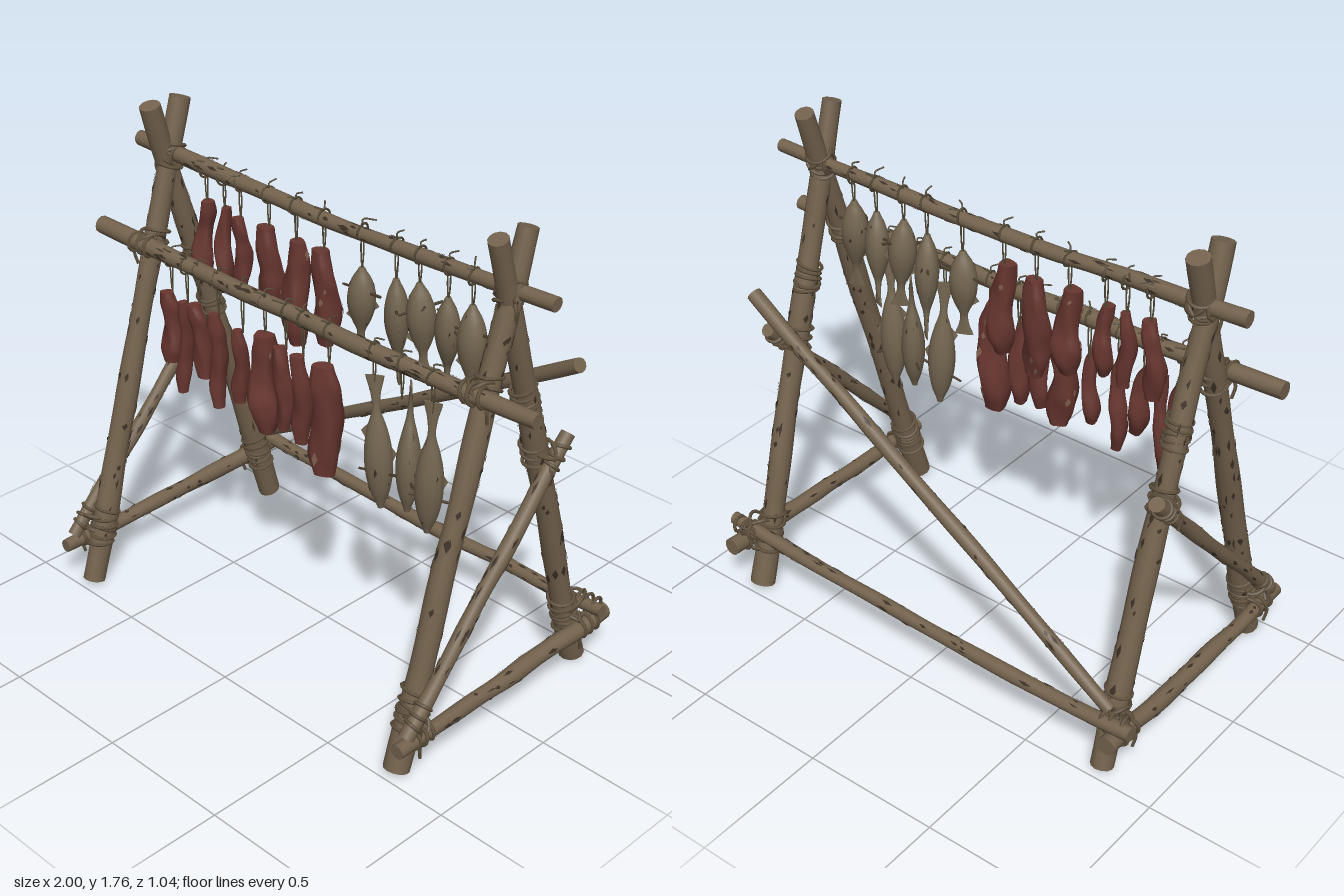
import * as THREE from 'three';
import { mergeGeometries } from 'three/addons/utils/BufferGeometryUtils.js';

const V = (x, y, z) => new THREE.Vector3(x, y, z);
const mat = (name, color, side = THREE.FrontSide) => {
  const m = new THREE.MeshStandardMaterial({ color, side });
  m.name = name;
  return m;
};

export function createModel() {
  const root = new THREE.Group();
  root.name = 'dryingRack';
  const wood = mat('wood', 0x73624d);
  const bark = mat('darkBark', 0x3a2f25, THREE.DoubleSide);
  const rope = mat('rope', 0x62533f);
  const meatMat = mat('driedMeat', 0x683630);
  const fat = mat('fat', 0x80604f, THREE.DoubleSide);
  const fishMat = mat('driedFish', 0x736550, THREE.DoubleSide);
  const cord = mat('cord', 0x554c38);
  const stick = mat('stick', 0x4a3c2d);

  let seed = 7;
  const rnd = (a = 0, b = 1) => {
    seed = (seed * 16807) % 2147483647;
    return a + (b - a) * (seed / 2147483647);
  };
  const add = (name, geo, material, parent = root) => {
    const m = new THREE.Mesh(geo, material);
    m.name = name;
    parent.add(m);
    return m;
  };

  // Closed solid swept from P(t, angle), with separate flat end caps
  function loft(n, m, P) {
    const pos = [], idx = [];
    const ring = (t) => {
      for (let j = 0; j < m; j++) pos.push(...P(t, (j / m) * Math.PI * 2).toArray());
    };
    for (let i = 0; i <= n; i++) ring(i / n);
    for (let i = 0; i < n; i++) {
      for (let j = 0; j < m; j++) {
        const a = i * m + j, b = i * m + ((j + 1) % m);
        idx.push(a, b, a + m, b, b + m, a + m);
      }
    }
    for (const t of [0, 1]) {
      const s = pos.length / 3;
      ring(t);
      pos.push(...P(t, 0).add(P(t, Math.PI)).multiplyScalar(0.5).toArray());
      for (let j = 0; j < m; j++) {
        const k = (j + 1) % m;
        idx.push(s + m, s + (t ? j : k), s + (t ? k : j));
      }
    }
    const g = new THREE.BufferGeometry();
    g.setAttribute('position', new THREE.Float32BufferAttribute(pos, 3));
    g.setIndex(idx);
    g.computeVertexNormals();
    return g;
  }

  // Thin pointed flakes lying on a swept surface
  function flakes(P, n, dMin, dMax, aMin, aMax, off) {
    const pos = [];
    for (let i = 0; i < n; i++) {
      const t = rnd(0.1, 0.9), ang = rnd(0, 6.28), dt = rnd(dMin, dMax), da = rnd(aMin, aMax);
      const c = [P(t - dt, ang, off), P(t, ang + da, off), P(t + dt, ang + 0.1, off), P(t, ang - da, off)];
      for (const k of [0, 1, 2, 0, 2, 3]) pos.push(...c[k].toArray());
    }
    const g = new THREE.BufferGeometry();
    g.setAttribute('position', new THREE.Float32BufferAttribute(pos, 3));
    g.computeVertexNormals();
    return g;
  }

  // Slightly crooked pole with dark bark flakes
  function pole(name, a, b, r0, r1, sag = 0) {
    const d = b.clone().sub(a), len = d.length();
    d.normalize();
    const u = V(0, 1, 0).cross(d).normalize();
    const v = d.clone().cross(u);
    const path = [];
    for (let i = 0; i <= 8; i++) {
      const t = i / 8, k = i % 8 ? 0.004 : 0;
      path.push(a.clone().lerp(b, t).addScaledVector(u, rnd(-k, k)).addScaledVector(v, rnd(-k, k))
        .add(V(0, -sag * 4 * t * (1 - t), 0)));
    }
    const curve = new THREE.CatmullRomCurve3(path);
    const ph = rnd(0, 6);
    const P = (t, ang, off = 0) => {
      const r = (r0 + (r1 - r0) * t) * (1 + 0.04 * Math.sin(t * 23 + ph) + 0.04 * Math.sin(ang * 2 + t * 9 + ph)) + off;
      return curve.getPoint(t).addScaledVector(u, r * Math.cos(ang)).addScaledVector(v, r * Math.sin(ang));
    };
    add(name, loft(32, 12, P), wood);
    add(name + 'BarkFlakes', flakes(P, len * 34, 0.008 / len, 0.03 / len, 0.08, 0.26, 0.002), bark);
  }

  // Rope turns around an axis
  function turns(c, axis, r, n, spread, out, thick = 0.0065) {
    const d = axis.clone().normalize();
    for (let i = 0; i < n; i++) {
      const g = new THREE.TorusGeometry(r + rnd(0, 0.004), thick, 5, 16);
      const tilt = d.clone().add(V(rnd(-0.2, 0.2), rnd(-0.2, 0.2), rnd(-0.2, 0.2))).normalize();
      g.applyQuaternion(new THREE.Quaternion().setFromUnitVectors(V(0, 0, 1), tilt));
      const p = c.clone().addScaledVector(d, n > 1 ? (i / (n - 1) - 0.5) * spread : 0);
      out.push(g.translate(p.x, p.y, p.z));
    }
  }
  const tube = (pts, r) => new THREE.TubeGeometry(new THREE.CatmullRomCurve3(pts), 8, r, 5);

  // Lashing where pole A crosses pole B, with a loose rope end
  function lashing(name, ca, axA, rA, cb, axB, rB) {
    const out = [];
    turns(ca, axA, rA, 3, 0.07, out);
    turns(cb, axB, rB, 3, 0.07, out);
    const mid = ca.clone().add(cb).multiplyScalar(0.5);
    const a = axA.clone().normalize(), b = axB.clone().normalize();
    turns(mid, a.clone().add(b), (rA + rB) * 0.66, 1, 0, out);
    turns(mid, a.clone().sub(b), (rA + rB) * 0.66, 1, 0, out);
    const s = Math.sign(mid.x);
    out.push(tube([mid.clone().add(V(s * 0.03, -0.01, 0.02)), mid.clone().add(V(s * 0.05, -0.04, 0.03)),
      mid.clone().add(V(s * 0.045, -0.09, 0.02))], 0.006));
    add(name, mergeGeometries(out), rope);
  }

  // End frames: crossed legs, foot rail and brace on each side
  const legAt = (x, f, y) => V(x, y, f * (0.45 - (0.52 * y) / 1.76));
  const X = V(1, 0, 0);
  for (const s of [-1, 1]) {
    const side = s < 0 ? 'right' : 'left';
    const x = s < 0 ? -0.775 : 0.757, xr = s < 0 ? -0.835 : 0.825;
    for (const f of [1, -1]) {
      pole(side + (f > 0 ? 'FrontLeg' : 'BackLeg'), legAt(x, f, 0.013), legAt(x + s * 0.01, f, 1.755), 0.043, 0.036);
    }
    pole(side + 'FootRail', V(xr, 0.16, 0.52), V(xr, 0.185, -0.52), 0.025, 0.033, 0.012);
    pole(side + 'Brace', V(xr, 0.19, 0.48), V(s * 0.815, 0.99, -0.265), 0.025, 0.026);
    const dF = V(0, 1.76, -0.52), dB = V(0, 1.76, 0.52), dBr = V(0, 0.8, -0.74);
    lashing(side + 'ApexLashing', legAt(x, 1, 1.56), dF, 0.04, V(x, 1.56, -0.01), X, 0.03);
    lashing(side + 'RailLashing', legAt(x, 1, 1.265), dF, 0.042, V(x, 1.265, 0.135), X, 0.032);
    const band = [];
    turns(legAt(x, -1, 1.155), dB, 0.04, 5, 0.09, band);
    add(side + 'BackLegBand', mergeGeometries(band), rope);
    lashing(side + 'BraceLashing', legAt(x, -1, 0.94), dB, 0.041, V(s * 0.815, 0.93, -0.21), dBr, 0.027);
    lashing(side + 'FrontFootLashing', legAt(x, 1, 0.19), dF, 0.043, V(xr, 0.165, 0.41), V(0, 0, 1), 0.028);
    lashing(side + 'BraceFootLashing', legAt(x, 1, 0.25), dF, 0.043, V(xr, 0.25, 0.425), dBr, 0.026);
    lashing(side + 'BackFootLashing', legAt(x, -1, 0.19), dB, 0.043, V(xr, 0.18, -0.42), V(0, 0, 1), 0.033);
    lashing(side + 'BackRailLashing', legAt(x, -1, 0.25), dB, 0.043, V(x + s * 0.05, 0.245, -0.455), X, 0.027);
  }

  // Long poles
  pole('topPole', V(-0.94, 1.575, -0.012), V(0.93, 1.57, -0.018), 0.028, 0.023, 0.022);
  pole('frontPole', V(-1, 1.272, 0.135), V(1, 1.265, 0.13), 0.031, 0.027, 0.013);
  pole('backRail', V(-0.9, 0.24, -0.475), V(0.88, 0.245, -0.44), 0.026, 0.024, 0.02);
  pole('backDiagonal', V(-0.8, 0.27, -0.45), V(0.78, 1.19, -0.35), 0.024, 0.026);

  // Cord tied round a pole, with loose ends and a drop to the hung piece
  function hangCord(x, py, pz, top) {
    const out = [];
    turns(V(x, py, pz), X, 0.026, 1, 0, out, 0.004);
    for (const k of [-1, 1]) {
      out.push(tube([V(x + k * 0.004, py, pz), V(x + k * 0.006, (py + top) / 2, pz), V(x, top - 0.02, pz)], 0.0028));
      out.push(tube([V(x, py + 0.025, pz), V(x + k * 0.012, py + 0.034, pz + k * 0.015),
        V(x + rnd(-0.03, 0.03), py + rnd(0.03, 0.05), pz + k * rnd(0.02, 0.04))], 0.003));
    }
    add('hangingCord', mergeGeometries(out), cord);
  }

  // Strip of meat: lumpy blunt-ended slab, with fat patches on the large cuts
  function meat(x, z, top, bot, w, lean) {
    const prof = new THREE.SplineCurve([0.65, 0.85, 0.85, 0.95, 1.05, 1, 0.65]
      .map((k) => new THREE.Vector2(w * k * rnd(0.88, 1.15), (w * 0.55 + 0.013) * k * rnd(0.88, 1.15))));
    const ph = rnd(0, 6), h = top - bot;
    const sq = (c) => Math.sign(c) * Math.pow(Math.abs(c), 0.75);
    const P = (t, a, off = 0) => {
      const p = prof.getPoint(t), k = 1 + 0.1 * Math.sin(a * 3 + t * 8 + ph);
      return V(lean * t + 0.007 * Math.sin(t * 6 + ph) + (p.x * k + off) * sq(Math.cos(a)), -h * t,
        0.01 * Math.cos(t * 5 + ph) + (p.y * k + off) * sq(Math.sin(a)));
    };
    const m = add('meatStrip', loft(18, 12, P), meatMat);
    m.position.set(x, top, z);
    m.rotation.y = rnd(-0.5, 0.5);
    if (w > 0.04) add('fatPatches', flakes(P, 4, 0.03, 0.07, 0.15, 0.3, 0.003), fat, m);
  }

  // Fish: rounded body with fan tail, fins and a spreading stick; dir 1 hangs head up
  const fishProfile = new THREE.SplineCurve([[0.01, 0.01], [0.032, 0.028], [0.045, 0.039], [0.049, 0.042], [0.044, 0.037],
    [0.031, 0.025], [0.014, 0.012], [0.018, 0.007], [0.032, 0.004]].map((p) => new THREE.Vector2(...p)));
  function fish(x, z, top, bot, dir, yaw) {
    const h = top - bot, grp = new THREE.Group();
    grp.name = 'fish';
    grp.position.set(x, top, z);
    grp.rotation.set(rnd(-0.06, 0.06), yaw, rnd(-0.08, 0.08));
    root.add(grp);
    const at = (t) => fishProfile.getPoint(dir > 0 ? t : 1 - t);
    const P = (t, a, off = 0) => V((at(t).x + off) * Math.cos(a), -h * t, (at(t).y + off) * Math.sin(a));
    add('fishBody', loft(28, 12, P), fishMat, grp);
    add('fishMarks', flakes(P, 5, 0.015, 0.04, 0.06, 0.14, 0.002), bark, grp);
    const yOf = (t) => -h * (dir > 0 ? t : 1 - t);
    for (const [t0, t1, s, w] of [[0.3, 0.55, 1, 0.062], [0.5, 0.66, -1, 0.054]]) {
      const sh = new THREE.Shape([new THREE.Vector2(s * 0.035, yOf(t0)), new THREE.Vector2(s * w, yOf((t0 + t1) / 2)),
        new THREE.Vector2(s * 0.02, yOf(t1))]);
      add('fishFin', new THREE.ShapeGeometry(sh), fishMat, grp);
    }
    const st = add('spreadingStick', new THREE.CylinderGeometry(0.004, 0.005, rnd(0.13, 0.18), 6), stick, grp);
    st.position.y = yOf(0.27);
    st.rotation.set(0, rnd(-0.5, 0.5), Math.PI / 2 + rnd(-0.2, 0.2));
  }

  // Upper row on the top pole
  for (const [x, top, bot, w, lean] of [[-0.6, 1.44, 1.15, 0.032, -0.02], [-0.51, 1.44, 1.16, 0.026, 0],
    [-0.43, 1.43, 1.17, 0.027, 0.01], [-0.29, 1.44, 1.13, 0.042, 0.01], [-0.16, 1.43, 1.06, 0.045, 0.01],
    [-0.03, 1.44, 1.1, 0.042, 0.02]]) {
    hangCord(x, 1.553, -0.014, top);
    meat(x, -0.01, top, bot, w, lean);
  }
  for (const [x, top, bot, yaw] of [[0.14, 1.43, 1.12, 0.4], [0.29, 1.44, 1.06, -0.7], [0.39, 1.46, 1.13, 0.6],
    [0.51, 1.45, 1.11, -0.5], [0.61, 1.46, 1.12, 0.3]]) {
    hangCord(x, 1.556, -0.016, top);
    fish(x, -0.015, top, bot, 1, yaw);
  }

  // Lower row on the front pole
  for (const [x, top, bot, w, lean] of [[-0.63, 1.14, 0.88, 0.037, 0.02], [-0.55, 1.13, 0.77, 0.02, -0.015],
    [-0.49, 1.14, 0.87, 0.032, 0.04], [-0.39, 1.14, 0.78, 0.028, 0.01], [-0.27, 1.12, 0.84, 0.025, 0],
    [-0.16, 1.14, 0.78, 0.05, 0.01], [-0.06, 1.13, 0.82, 0.031, 0], [0.02, 1.13, 0.8, 0.032, 0.01],
    [0.14, 1.14, 0.73, 0.052, 0]]) {
    hangCord(x, 1.257, 0.133, top);
    meat(x, 0.15, top, bot, w, lean);
  }
  for (const [x, z, bot, yaw] of [[0.34, 0.13, 0.68, 0.5], [0.46, 0.09, 0.71, -0.8], [0.59, 0.13, 0.68, 0.4]]) {
    hangCord(x, 1.257, 0.132, 1.15);
    fish(x, z, 1.17, bot, -1, yaw);
  }
  return root;
}
